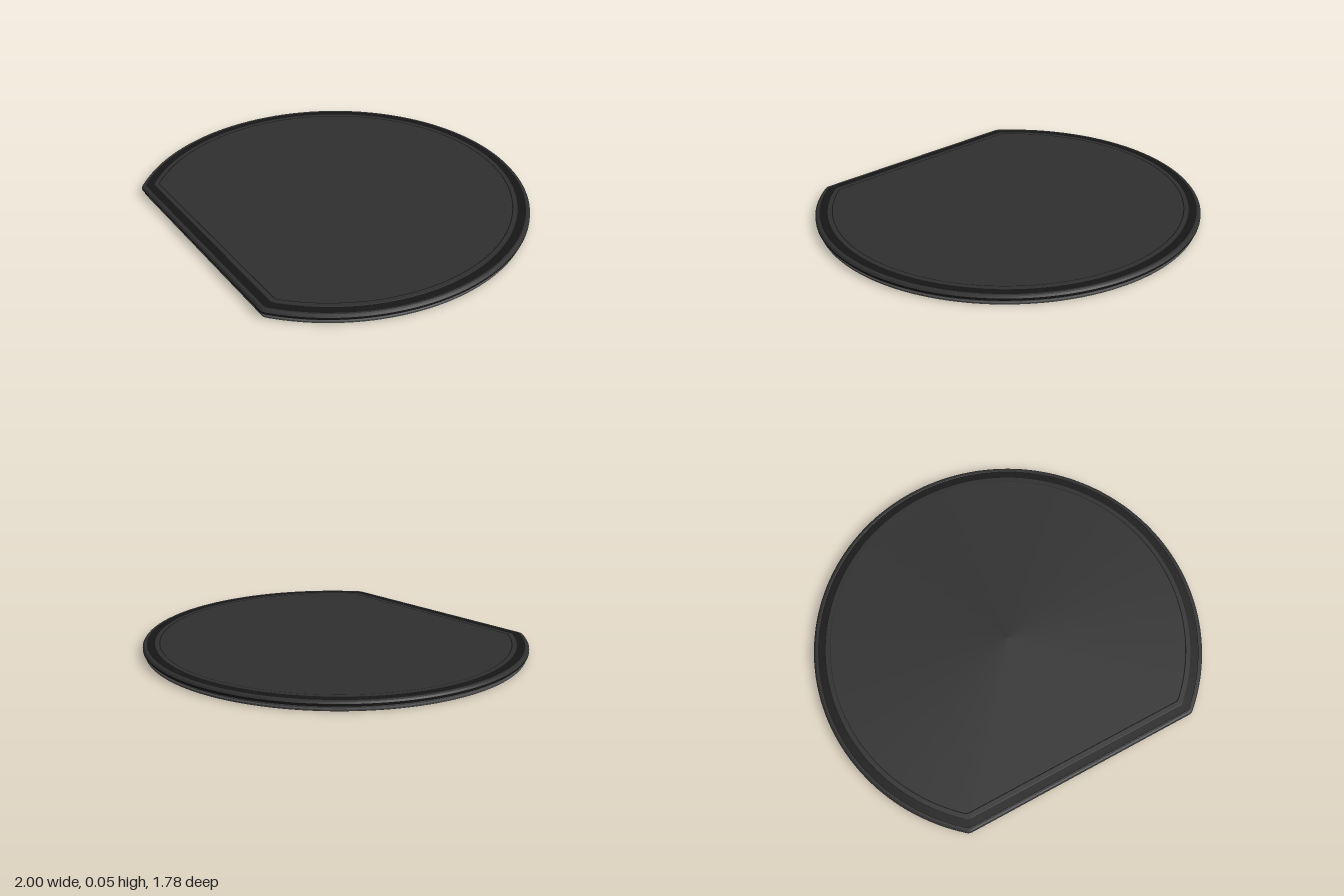
import * as THREE from 'three';

const CENTRE_Z = 0.11; // centre of the round edge
const FLAT = 0.78;     // distance from that centre to the straight front edge
const FILLET = 0.04;   // rounding of the two front corners

// Outline of the plate, moved inwards by d: big arc, corner, straight edge, corner.
// Goes from the right corner round the back and ends where it began, as [x, z] pairs.
function outline(d) {
  const R = 1 - d, f = FLAT - d;
  const cz = f - FILLET;
  const cx = Math.sqrt((R - FILLET) ** 2 - cz ** 2);
  const a = Math.atan2(cz, cx); // angle where the big arc meets a corner
  const pts = [];
  const arc = (x, z, r, from, to, n) => {
    for (let i = 0; i <= n; i++) {
      const t = from + (to - from) * i / n;
      pts.push([x + r * Math.cos(t), CENTRE_Z + z + r * Math.sin(t)]);
    }
  };
  arc(0, 0, R, a, -Math.PI - a, 128);
  arc(-cx, cz, FILLET, Math.PI - a, Math.PI / 2, 6);
  arc(cx, cz, FILLET, Math.PI / 2, a, 6);
  return pts;
}

// Sweeps a profile of [inset, y] points round the outline; inset null means the middle.
// Each step has its own vertices, so edges between steps stay sharp.
function sweep(profile) {
  const pos = [], index = [];
  for (let s = 0; s < profile.length - 1; s++) {
    const base = pos.length / 3;
    let n = 0;
    for (const [d, y] of [profile[s], profile[s + 1]]) {
      const ring = outline(d ?? 0);
      n = ring.length;
      for (const [x, z] of ring) {
        if (d === null) pos.push(0, y, CENTRE_Z);
        else pos.push(x, y, z);
      }
    }
    for (let i = 0; i < n - 1; i++) {
      const a = base + i, b = a + 1;
      if (profile[s][0] !== null) index.push(a, b, a + n);
      if (profile[s + 1][0] !== null) index.push(b, b + n, a + n);
    }
  }
  const g = new THREE.BufferGeometry();
  g.setAttribute('position', new THREE.Float32BufferAttribute(pos, 3));
  g.setIndex(index);
  g.computeVertexNormals();
  return g;
}

export function createModel() {
  const group = new THREE.Group();
  group.name = 'plate';
  const grey = new THREE.MeshStandardMaterial({ color: 0x2f2f2f });
  const dark = new THREE.MeshStandardMaterial({ color: 0x171717 });
  const light = new THREE.MeshStandardMaterial({ color: 0x484848 });
  const add = (name, profile, material) => {
    const mesh = new THREE.Mesh(sweep(profile), material);
    mesh.name = name;
    group.add(mesh);
  };

  // Profiles run from the underside, round the outside, to the top.
  add('bottomPanel', [[null, 0.001], [0.068, 0.001]], grey);
  add('bottomBand', [[0.068, 0.001], [0.012, 0]], dark);
  add('lowerEdge', [[0.012, 0], [0.01, 0.002], [0.01, 0.009], [0.016, 0.012], [0.016, 0.021]], light);
  add('upperLip', [[0.016, 0.021], [0.002, 0.025], [0, 0.028], [0, 0.037]], dark);
  add('rim', [[0, 0.037], [0.006, 0.044], [0.012, 0.047], [0.021, 0.047]], grey);
  add('topBand', [[0.021, 0.047], [0.023, 0.046], [0.06, 0.046], [0.062, 0.047]], dark);
  add('innerFrame', [[0.062, 0.047], [0.083, 0.047]], grey);
  add('panelSeam', [[0.083, 0.047], [0.088, 0.046]], dark);
  add('topPanel', [[0.088, 0.046], [null, 0.046]], grey);
  return group;
}
